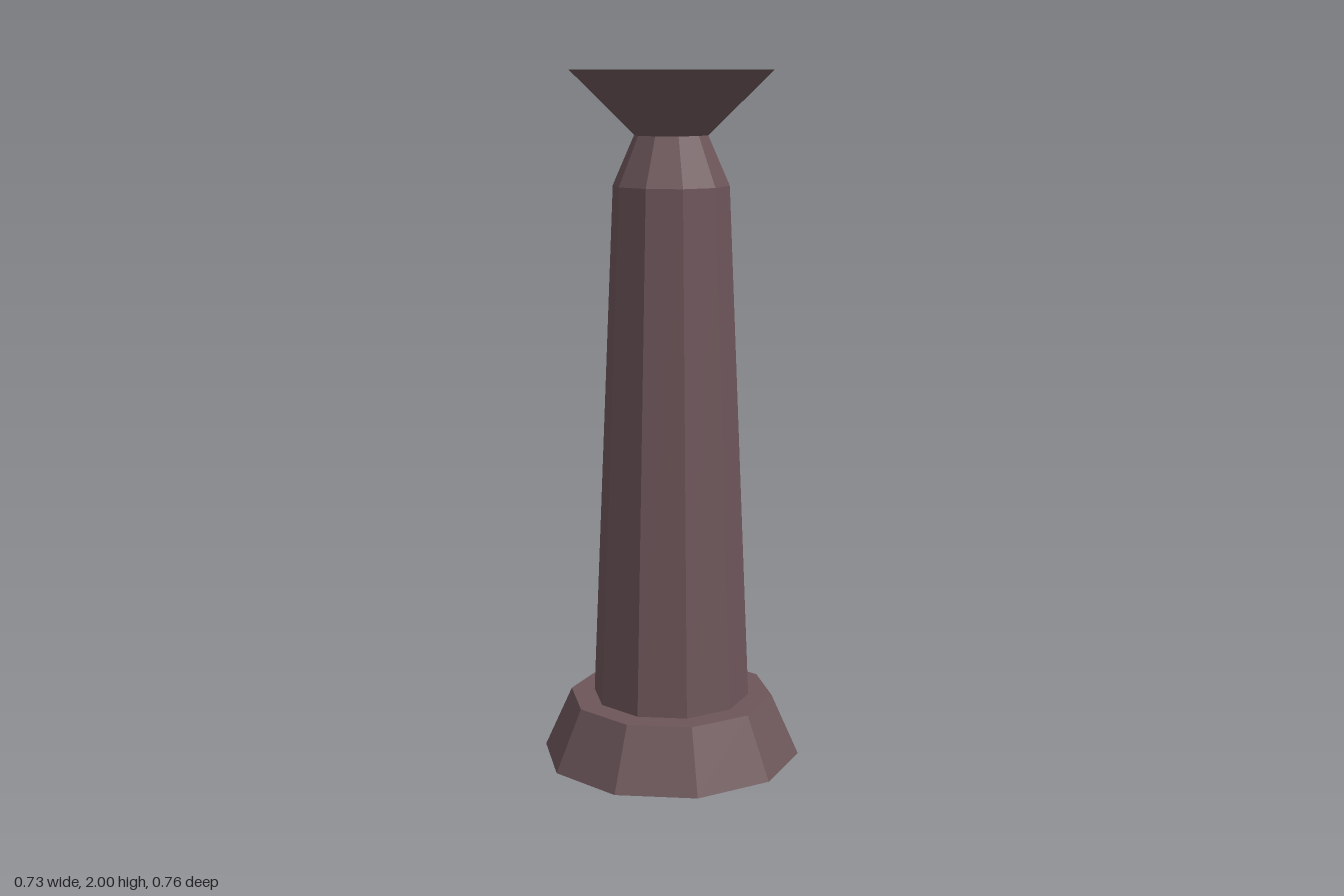
import * as THREE from 'three';

const SIDES = 10;

export function createModel() {
  const model = new THREE.Group();
  model.name = 'column';

  const stone = new THREE.MeshStandardMaterial({ color: 0x6d565a, flatShading: true });
  stone.name = 'dusky stone';

  // Ten-sided tapered section between two heights
  function section(name, bottomY, topY, bottomRadius, topRadius, open = false) {
    const geometry = new THREE.CylinderGeometry(topRadius, bottomRadius, topY - bottomY, SIDES, 1, open);
    geometry.scale(1.015, 1, 1);
    geometry.translate(0, (bottomY + topY) / 2, 0);
    const mesh = new THREE.Mesh(geometry, stone);
    mesh.name = name;
    model.add(mesh);
  }

  section('base', 0, 0.18, 0.378, 0.298);
  section('shaft', 0.18, 1.68, 0.229, 0.165, true);
  section('neck', 1.68, 1.82, 0.165, 0.104, true);
  section('capital', 1.82, 2, 0.104, 0.287);

  return model;
}
